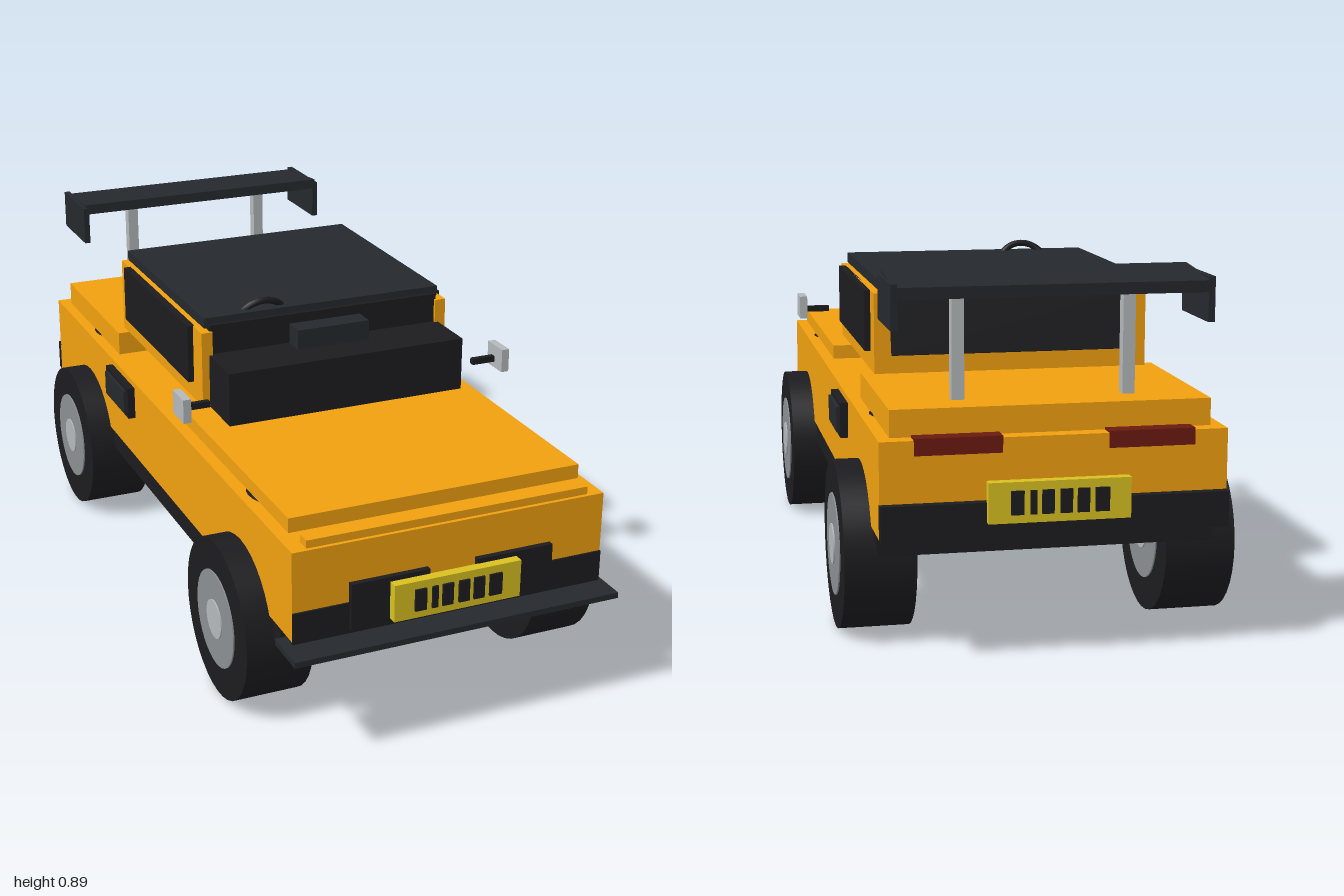
import * as THREE from 'three';

const mat = (color) => new THREE.MeshStandardMaterial({ color });

export function createModel() {
  const car = new THREE.Group();
  car.name = 'pickupCar';
  const orange = mat(0xf0a010), black = mat(0x1c1c20), trim = mat(0x25292d);
  const silver = mat(0xb4b8ba), rimGrey = mat(0x8a8f91), yellow = mat(0xd8c020), red = mat(0x6a1a10);

  const add = (name, geometry, material, parent = car) => {
    const mesh = new THREE.Mesh(geometry, material);
    mesh.name = name;
    parent.add(mesh);
    return mesh;
  };
  // Box given by its limits on each axis
  const box = (name, [x0, x1], [y0, y1], [z0, z1], material, parent) => {
    const mesh = add(name, new THREE.BoxGeometry(x1 - x0, y1 - y0, z1 - z0), material, parent);
    mesh.position.set((x0 + x1) / 2, (y0 + y1) / 2, (z0 + z1) / 2);
    return mesh;
  };
  // Box on one side, repeated on the other
  const pair = (name, [x0, x1], y, z, material) => {
    box(name + 'Left', [x0, x1], y, z, material);
    box(name + 'Right', [-x1, -x0], y, z, material);
  };

  // Body and chassis
  box('body', [-0.41, 0.41], [0.295, 0.525], [-0.95, 0.935], orange);
  box('chassis', [-0.405, 0.405], [0.235, 0.295], [-0.865, 0.855], black);
  box('hood', [-0.385, 0.385], [0.535, 0.572], [0.12, 0.855], orange);
  box('noseStrip', [-0.37, 0.37], [0.525, 0.545], [0.89, 0.925], orange);
  box('rearDeck', [-0.38, 0.38], [0.525, 0.59], [-0.91, -0.42], orange);

  // Bumpers, splitter and lights
  box('frontBumper', [-0.41, 0.41], [0.29, 0.37], [0.934, 0.94], black);
  pair('bumperBlock', [0.063, 0.266], [0.3, 0.422], [0.93, 0.95], black);
  box('frontSplitter', [-0.43, 0.43], [0.265, 0.28], [0.88, 1], trim);
  box('rearBumper', [-0.41, 0.41], [0.295, 0.38], [-0.973, -0.94], black);
  pair('tailLight', [0.125, 0.33], [0.49, 0.53], [-0.953, -0.91], red);

  // Number plates with dark slots
  const slots = [[-0.115, -0.085], [-0.07, -0.055], [-0.043, -0.015], [0, 0.028], [0.04, 0.068], [0.082, 0.115]];
  const plate = (name, y, z, turn) => {
    const group = new THREE.Group();
    group.name = name;
    box('plate', [-0.167, 0.167], [-0.048, 0.048], [-0.025, 0], yellow, group);
    slots.forEach((x) => box('plateSlot', x, [-0.028, 0.028], [-0.004, 0.006], black, group));
    group.position.set(0, y, z);
    group.rotation.y = turn;
    car.add(group);
  };
  plate('frontPlate', 0.362, 0.974, 0);
  plate('rearPlate', 0.382, -0.994, Math.PI);

  // Cabin shell, glass and roof
  pair('cabinSide', [0.32, 0.35], [0.592, 0.795], [-0.455, 0.2], orange);
  box('cabinBack', [-0.35, 0.35], [0.592, 0.795], [-0.46, -0.425], orange);
  pair('sideWindow', [0.345, 0.365], [0.64, 0.795], [-0.395, 0.135], black);
  box('windshield', [-0.325, 0.325], [0.59, 0.81], [0.165, 0.192], black);
  const rearWindow = add('rearWindow', new THREE.BoxGeometry(0.62, 0.15, 0.016), black);
  rearWindow.position.set(0, 0.715, -0.472);
  rearWindow.rotation.x = 0.23;
  box('roof', [-0.335, 0.335], [0.8, 0.827], [-0.445, 0.178], trim);
  box('cowl', [-0.33, 0.33], [0.59, 0.732], [0.19, 0.342], black);
  box('cowlScoop', [-0.103, 0.1], [0.728, 0.785], [0.19, 0.25], trim);

  // Interior
  pair('seat', [0.07, 0.262], [0.525, 0.6], [-0.235, 0.095], trim);
  pair('seatBack', [0.07, 0.262], [0.59, 0.77], [-0.235, -0.17], trim);
  box('centreTunnel', [-0.045, 0.045], [0.525, 0.6], [-0.235, 0.095], trim);
  const steering = add('steeringWheel', new THREE.TorusGeometry(0.068, 0.009, 10, 32), black);
  steering.position.set(-0.16, 0.785, 0.128);
  steering.rotation.x = 0.45;

  // Side vents and mirrors
  pair('sideVent', [0.4, 0.43], [0.418, 0.508], [-0.395, -0.195], black);
  pair('ventPanel', [0.42, 0.438], [0.43, 0.496], [-0.38, -0.21], trim);
  pair('mirrorArm', [0.375, 0.442], [0.643, 0.659], [0.307, 0.323], black);
  pair('mirror', [0.44, 0.461], [0.627, 0.69], [0.285, 0.363], silver);

  // Rear wing
  pair('wingPost', [0.19, 0.22], [0.585, 0.86], [-0.822, -0.792], silver);
  pair('wingEndPlate', [0.362, 0.378], [0.772, 0.878], [-0.93, -0.728], trim);
  const blade = add('wingBlade', new THREE.BoxGeometry(0.74, 0.028, 0.205), trim);
  blade.position.set(0, 0.865, -0.83);
  blade.rotation.x = -0.09;

  // Wheels and inner arches
  const disc = (name, radius, width, material, parent) =>
    add(name, new THREE.CylinderGeometry(radius, radius, width, 36).rotateZ(Math.PI / 2), material, parent);
  for (const side of [-1, 1]) {
    for (const [end, z] of [['front', 0.612], ['rear', -0.624]]) {
      const wheel = new THREE.Group();
      wheel.name = end + (side > 0 ? 'LeftWheel' : 'RightWheel');
      disc('tyre', 0.206, 0.172, black, wheel);
      disc('rim', 0.125, 0.179, rimGrey, wheel);
      disc('hubCap', 0.05, 0.186, silver, wheel);
      wheel.position.set(side * 0.39, 0.206, z);
      car.add(wheel);
      const arch = add(end + 'WheelArch', new THREE.TorusGeometry(0.21, 0.025, 8, 32, Math.PI), black);
      arch.rotation.y = Math.PI / 2;
      arch.position.set(side * 0.375, 0.295, z);
    }
  }
  return car;
}
